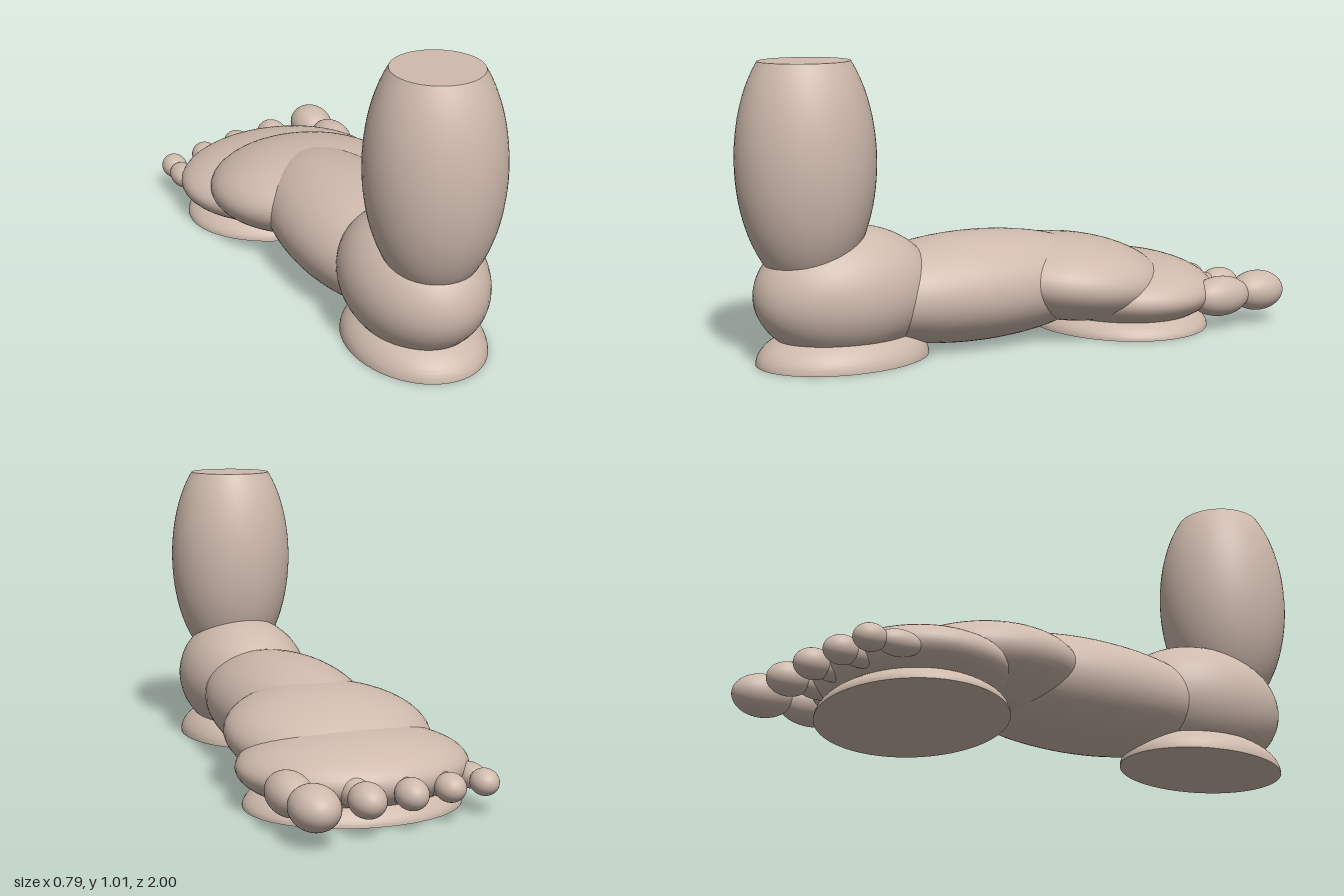
import * as THREE from 'three';
import { toCreasedNormals } from 'three/addons/utils/BufferGeometryUtils.js';

export function createModel() {
  const model = new THREE.Group();
  model.name = 'foot';
  const skin = new THREE.MeshStandardMaterial({ color: 0xcfbaad });
  skin.name = 'skin';

  // Smooth rounded mass: centre, radii and optional tilt about x
  function ellipsoid(name, [x, y, z], [rx, ry, rz], tilt = 0, parent = model) {
    const g = new THREE.SphereGeometry(1, 48, 32);
    g.scale(rx, ry, rz);
    const mesh = new THREE.Mesh(g, skin);
    mesh.name = name;
    mesh.position.set(x, y, z);
    mesh.rotation.x = tilt;
    parent.add(mesh);
    return mesh;
  }

  // Ellipsoid of revolution cut flat at two heights (in units of ry), with flat caps
  function cutEllipsoid(name, [x, y, z], [rx, ry, rz], low, high) {
    const points = [new THREE.Vector2(0, low)];
    for (let i = 0; i <= 24; i++) {
      const h = low + (high - low) * i / 24;
      points.push(new THREE.Vector2(Math.sqrt(Math.max(0, 1 - h * h)), h));
    }
    if (high < 1) points.push(new THREE.Vector2(0, high));
    let g = new THREE.LatheGeometry(points, 56);
    g.scale(rx, ry, rz);
    g = toCreasedNormals(g, 0.6);
    const mesh = new THREE.Mesh(g, skin);
    mesh.name = name;
    mesh.position.set(x, y, z);
    model.add(mesh);
  }

  // Leg: barrel with a flat top
  cutEllipsoid('leg', [0, 0.68, 0.765], [0.228, 0.435, 0.235], -0.9, 0.758);

  // Heel, arch, midfoot and ball of the foot
  ellipsoid('heel', [0, 0.23, 0.63], [0.236, 0.225, 0.32]);
  ellipsoid('arch', [0, 0.197, 0.14], [0.255, 0.192, 0.55]);
  ellipsoid('midfoot', [0, 0.19, -0.25], [0.355, 0.155, 0.36], -0.1);
  ellipsoid('ball', [0, 0.13, -0.475], [0.396, 0.129, 0.335]);

  // Flat-bottomed sole pads
  cutEllipsoid('heelPad', [0, 0, 0.64], [0.23, 0.13, 0.305], 0, 1);
  cutEllipsoid('ballPad', [0, 0, -0.475], [0.373, 0.11, 0.315], 0, 1);

  // Toes: [name, base centre, base radii, tip centre, tip radii]
  const toes = [
    ['bigToe', [0.315, 0.118, -0.715], [0.072, 0.072, 0.12], [0.302, 0.118, -0.895], [0.08, 0.073, 0.105]],
    ['secondToe', [0.115, 0.115, -0.76], [0.05, 0.052, 0.09], [0.115, 0.115, -0.865], [0.059, 0.057, 0.077]],
    ['thirdToe', [-0.045, 0.113, -0.77], [0.044, 0.048, 0.08], [-0.047, 0.113, -0.84], [0.053, 0.052, 0.066]],
    ['fourthToe', [-0.195, 0.11, -0.73], [0.042, 0.045, 0.08], [-0.2, 0.11, -0.8], [0.05, 0.048, 0.061]],
    ['littleToe', [-0.34, 0.105, -0.665], [0.046, 0.043, 0.075], [-0.342, 0.105, -0.76], [0.047, 0.045, 0.056]],
  ];
  for (const [name, base, baseR, tip, tipR] of toes) {
    const toe = new THREE.Group();
    toe.name = name;
    ellipsoid(name + 'Base', base, baseR, 0, toe);
    ellipsoid(name + 'Tip', tip, tipR, 0, toe);
    model.add(toe);
  }
  return model;
}
